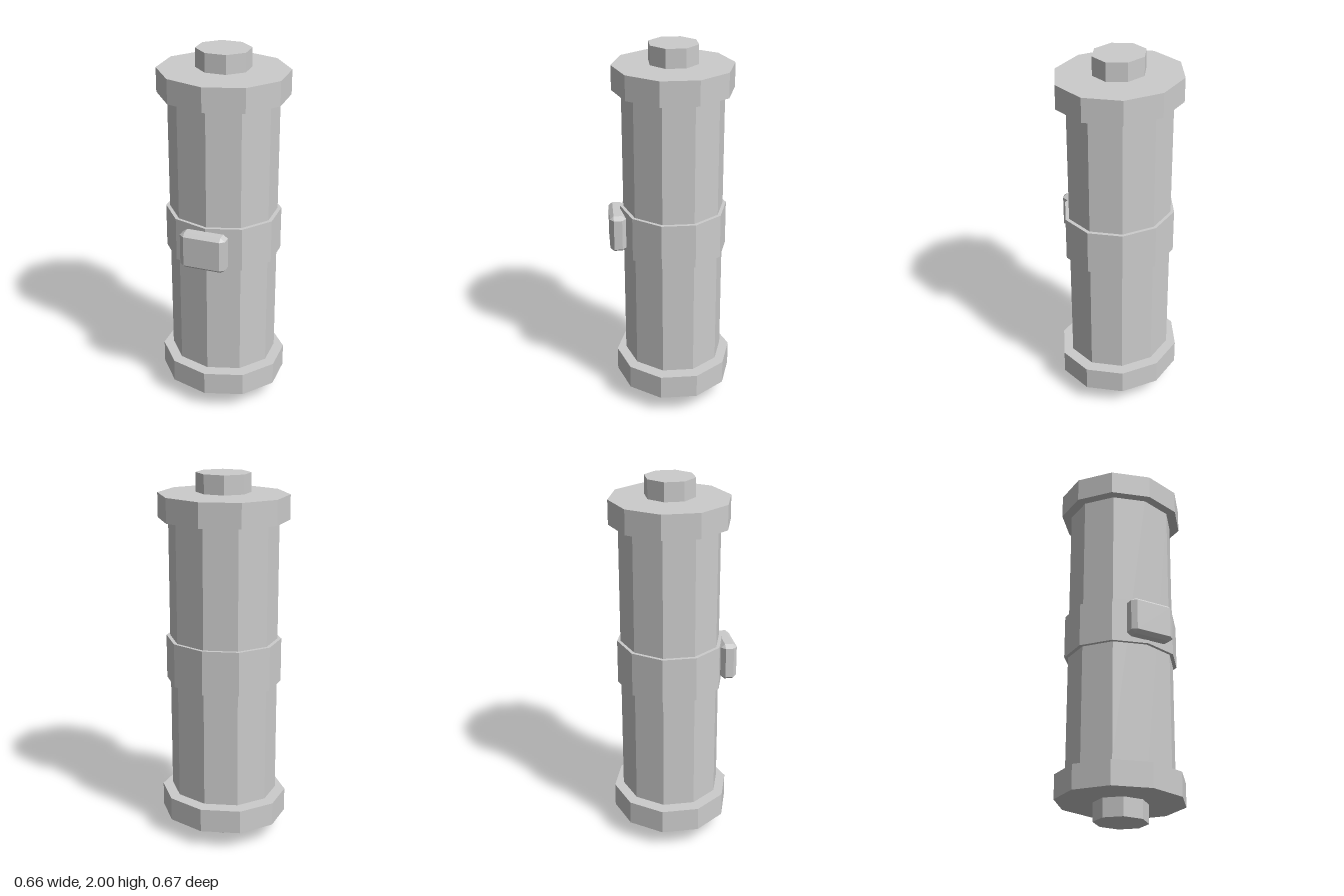
import * as THREE from 'three';
import { ConvexGeometry } from 'three/addons/geometries/ConvexGeometry.js';

const AXIS_Z = -0.014;

export function createModel() {
  const group = new THREE.Group();
  const gray = new THREE.MeshStandardMaterial({ color: 0xcccccc });

  const add = (name, geometry) => {
    const mesh = new THREE.Mesh(geometry, gray);
    mesh.name = name;
    group.add(mesh);
  };

  // Faceted upright prism, slightly flattened front to back
  const prism = (name, rx, rz, y0, y1, sides, turn = 0) => {
    const g = new THREE.CylinderGeometry(1, 1, y1 - y0, sides, 1, false, turn);
    g.scale(rx, 1, rz);
    g.translate(0, (y0 + y1) / 2, AXIS_Z);
    const flat = g.toNonIndexed();
    flat.computeVertexNormals();
    add(name, flat);
  };

  // Main barrel and the band around its middle
  prism('barrel', 0.294, 0.27, 0.243, 1.762, 10);
  prism('middleBand', 0.315, 0.288, 0.88, 1.12, 10);

  // End caps and the small octagonal knobs beyond them
  prism('bottomCap', 0.349, 0.32, 0.1, 0.23, 10);
  prism('topCap', 0.349, 0.32, 1.762, 1.892, 10);
  prism('bottomKnob', 0.146, 0.134, 0, 0.1, 8, Math.PI / 8);
  prism('topKnob', 0.146, 0.134, 1.9, 2, 8, Math.PI / 8);

  // Chamfered block on the front of the band: each corner is cut by three points
  const half = [0.125, 0.101, 0.043];
  const cut = [0.026, 0.018, 0.021];
  const points = [];
  for (const sx of [-1, 1]) for (const sy of [-1, 1]) for (const sz of [-1, 1]) {
    const sign = [sx, sy, sz];
    for (let full = 0; full < 3; full++) {
      points.push(new THREE.Vector3(...sign.map((s, i) => s * (i === full ? half[i] : half[i] - cut[i]))));
    }
  }
  const block = new ConvexGeometry(points);
  block.translate(0, 1, 0.291);
  add('frontBlock', block);

  return group;
}
